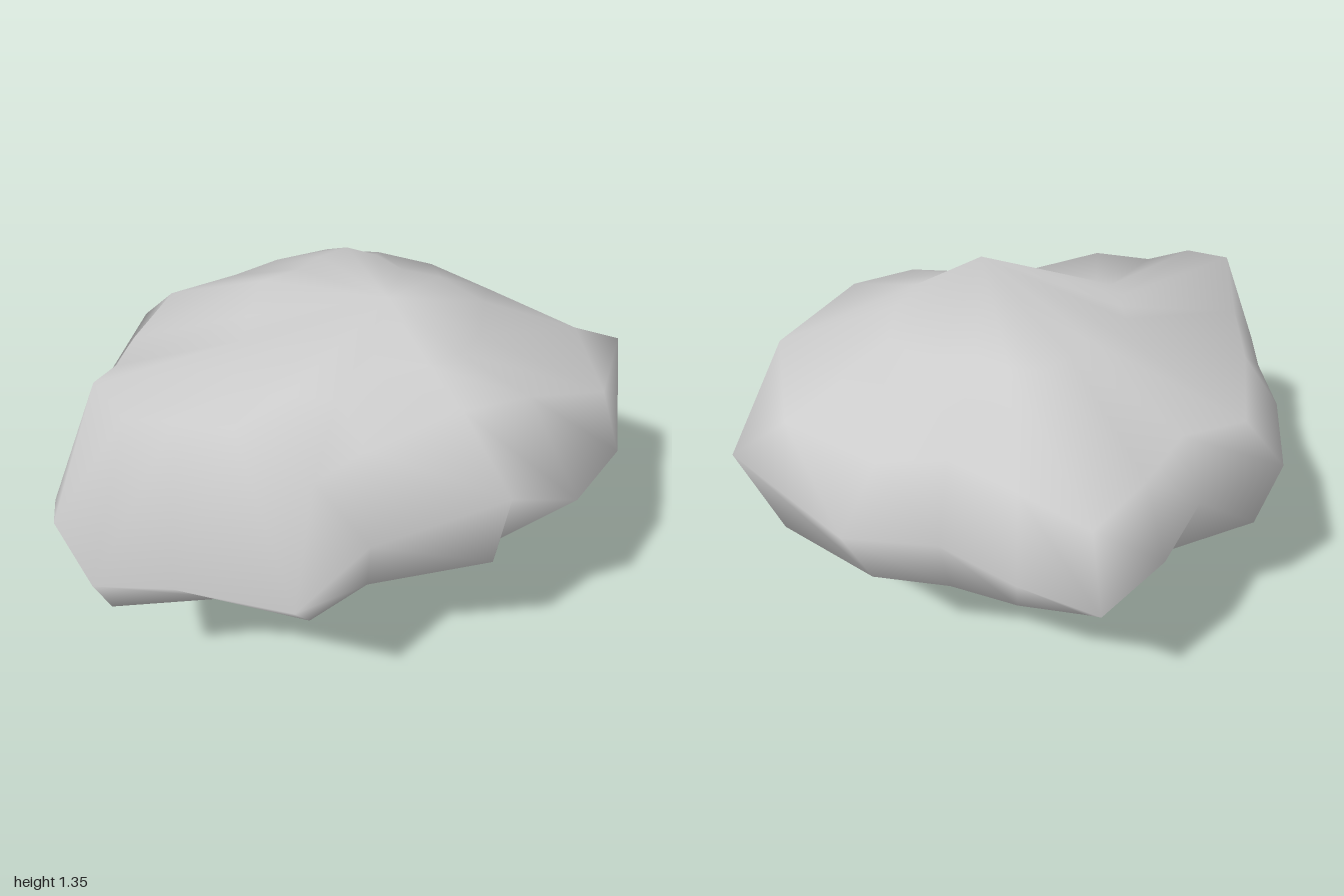
import * as THREE from 'three';
import { mergeVertices } from 'three/addons/utils/BufferGeometryUtils.js';

const material = new THREE.MeshStandardMaterial({ color: 0xcccccc });

// One rib per row, clockwise from the back:
// widest point x, z, y, then lower edge (scale, y) and upper edge (scale, y)
const ribs = [
  [-0.14, -0.99, 0.72, 0.85, 0.58, 0.88, 0.97],
  [0.11, -0.89, 0.78, 0.86, 0.57, 0.83, 1.03],
  [0.34, -0.68, 0.78, 0.9, 0.53, 0.87, 1.06],
  [0.65, -0.63, 0.8, 0.87, 0.54, 0.8, 1.0],
  [1.0, -0.3, 0.91, 0.87, 0.54, 0.82, 0.99],
  [0.93, 0.23, 0.78, 0.77, 0.48, 0.92, 1.02],
  [0.75, 0.52, 0.8, 0.71, 0.49, 0.77, 1.13],
  [0.51, 0.69, 0.94, 0.93, 0.63, 0.7, 1.13],
  [0.07, 0.72, 0.76, 0.85, 0.49, 0.75, 1.01],
  [-0.16, 0.98, 0.72, 0.8, 0.49, 0.69, 0.99],
  [-0.55, 0.86, 0.7, 0.75, 0.45, 0.66, 1.11],
  [-0.83, 0.77, 0.62, 0.95, 0.49, 0.67, 1.1],
  [-0.94, 0.7, 0.83, 0.92, 0.56, 0.76, 1.12],
  [-1.0, 0.47, 0.73, 0.82, 0.5, 0.83, 1.16],
  [-0.94, 0.18, 0.8, 0.77, 0.48, 0.86, 1.07],
  [-0.93, -0.1, 0.82, 0.74, 0.47, 0.85, 1.03],
  [-0.83, -0.51, 0.87, 0.93, 0.59, 0.85, 1.01],
  [-0.53, -0.6, 0.81, 0.88, 0.54, 0.88, 1.04],
  [-0.37, -0.82, 0.77, 0.82, 0.54, 0.86, 1.01],
];

// Each ring of the crown as a rule on a rib, from the hollow underside to the peak
const rings = [
  () => [0, 0.58, 0],
  ([x, z]) => [x * 0.57, 0.47 + 0.04 * z - 0.09 * Math.max(0, x), z * 0.57],
  ([x, z, , s, y]) => [x * s, y, z * s],
  ([x, z, y]) => [x, y, z],
  ([x, z, , , , s, y]) => [x * s, y, z * s],
  ([x, z]) => [
    x * 0.43 + 0.03,
    1.235 - 0.08 * Math.max(0, z - x) - 0.05 * Math.max(0, x),
    z * 0.43 + 0.03,
  ],
  () => [0.12, 1.35, 0.16],
];

// Lofts the ribs through all rings; the end rings collapse to single points
function crownGeometry() {
  const n = ribs.length;
  const positions = rings.flatMap((place) => ribs.flatMap(place));
  const index = [];
  for (let r = 0; r < rings.length - 1; r++) {
    for (let i = 0; i < n; i++) {
      const a = r * n + i;
      const b = r * n + (i + 1) % n;
      if (r < rings.length - 2) index.push(a, a + n, b + n);
      if (r > 0) index.push(a, b + n, b);
    }
  }
  const geometry = new THREE.BufferGeometry();
  geometry.setAttribute('position', new THREE.Float32BufferAttribute(positions, 3));
  geometry.setIndex(index);
  const merged = mergeVertices(geometry, 1e-4);
  merged.computeVertexNormals();
  return merged;
}

// Limb skinned over round sections, each given as [x, y, z, radius]
function limb(name, stops, sides = 8) {
  const positions = [];
  const index = [];
  stops.forEach(([x, y, z, radius], r) => {
    for (let i = 0; i < sides; i++) {
      const angle = (i / sides) * Math.PI * 2;
      positions.push(x + radius * Math.cos(angle), y, z + radius * Math.sin(angle));
      if (r === 0) continue;
      const a = (r - 1) * sides + i;
      const b = (r - 1) * sides + (i + 1) % sides;
      index.push(a, a + sides, b + sides, a, b + sides, b);
    }
  });
  // Bottom cap
  for (let i = 1; i < sides - 1; i++) index.push(0, i, i + 1);
  const geometry = new THREE.BufferGeometry();
  geometry.setAttribute('position', new THREE.Float32BufferAttribute(positions, 3));
  geometry.setIndex(index);
  geometry.computeVertexNormals();
  const mesh = new THREE.Mesh(geometry, material);
  mesh.name = name;
  return mesh;
}

export function createModel() {
  const tree = new THREE.Group();
  tree.name = 'tree';

  const crown = new THREE.Mesh(crownGeometry(), material);
  crown.name = 'crown';
  tree.add(crown);

  // Trunk running on into the back branch, with the front branch forking off
  tree.add(limb('trunk', [
    [0.013, 0, 0, 0.066],
    [0.007, 0.2, 0, 0.056],
    [0.022, 0.28, -0.02, 0.052],
    [0.055, 0.42, -0.075, 0.045],
    [0.09, 0.57, -0.13, 0.04],
  ]));
  tree.add(limb('frontBranch', [
    [0.01, 0.17, 0, 0.045],
    [-0.035, 0.28, 0.045, 0.06],
    [-0.18, 0.44, 0.18, 0.058],
    [-0.28, 0.55, 0.27, 0.052],
  ]));
  return tree;
}
